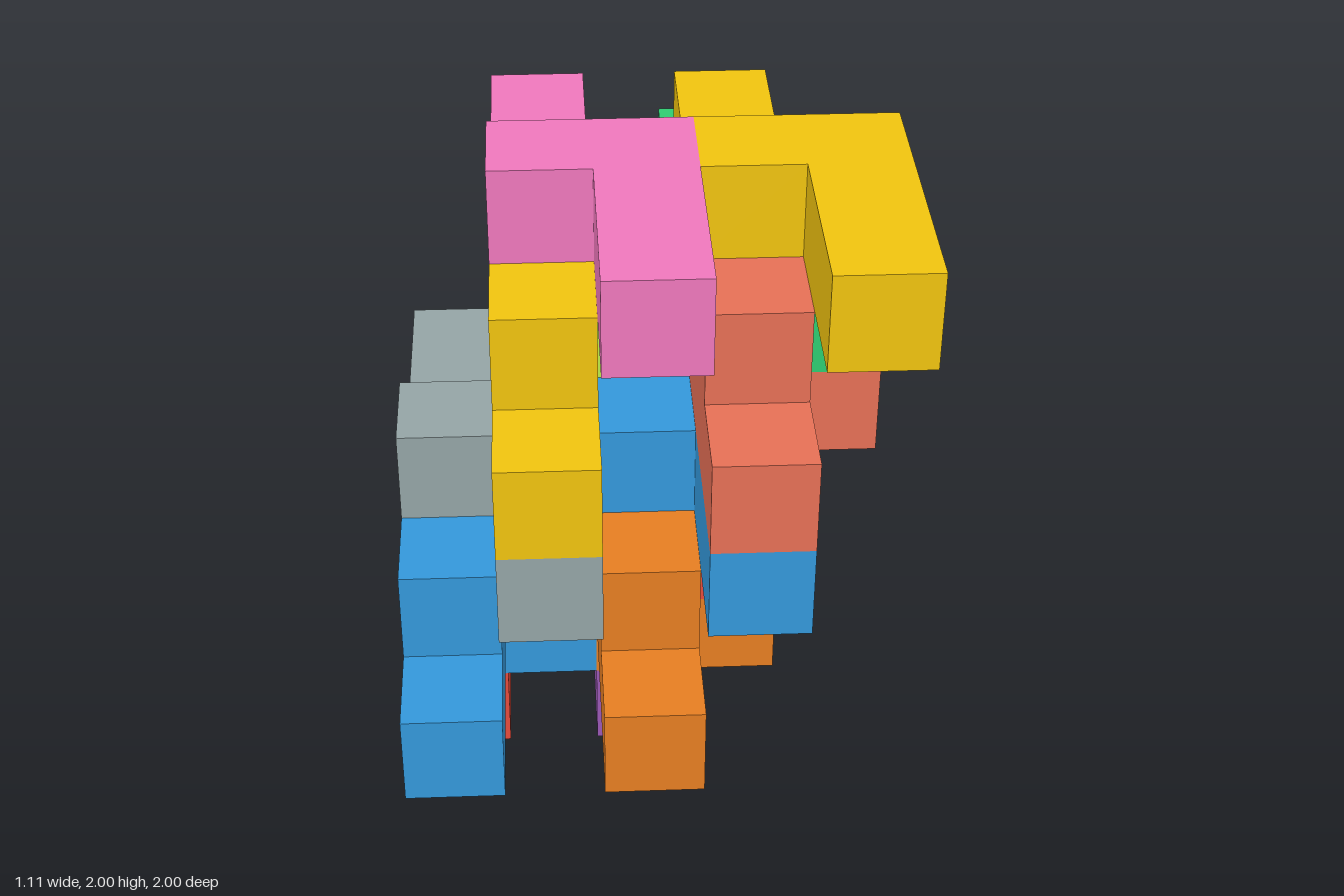
import * as THREE from 'three';
import { mergeGeometries } from 'three/addons/utils/BufferGeometryUtils.js';

const U = 2 / 9; // edge of one cube cell

// Cells of the one repeated block: long rail with a peg below, stepping up and across to an arm.
const BLOCK = [
  [0, 0, 0], [0, 0, 1], [0, 0, 2], [0, 0, 3], // rail
  [0, -1, 1],                                 // peg
  [0, 1, 3],                                  // riser
  [1, 1, 3], [1, 1, 4], [1, 1, 5],            // arm
];

// Six cell faces: outward direction and the rotation that turns a plane to it
const H = Math.PI / 2;
const FACES = [
  [[0, 0, 1], 0, 0], [[0, 0, -1], 0, 2 * H],
  [[1, 0, 0], 0, H], [[-1, 0, 0], 0, -H],
  [[0, 1, 0], -H, 0], [[0, -1, 0], H, 0],
];

// Only the outer faces of a set of cells
function cellGeometry(cells) {
  const filled = new Set(cells.map(c => c.join()));
  const faces = [];
  for (const c of cells) {
    for (const [d, rx, ry] of FACES) {
      if (filled.has(c.map((v, i) => v + d[i]).join())) continue;
      const [x, y, z] = c.map((v, i) => (v + d[i] / 2) * U);
      faces.push(new THREE.PlaneGeometry(U, U).rotateX(rx).rotateY(ry).translate(x, y, z));
    }
  }
  return mergeGeometries(faces);
}

// Name, colour, cell of the rail's start; flipped blocks are turned half round the x axis
const UPRIGHT = [
  ['topYellowBlock', 0xf1c40f, 3, 7, 3],
  ['pinkBlock', 0xf078bd, 1, 7, 3],
  ['grayBlock', 0x95a5a6, 0, 4, 3],
  ['upperBlueBlock', 0x3498db, 2, 4, 3],
  ['upperGreenBlock', 0x2ecc71, 3, 5, 0],
  ['limeBlock', 0xbcec48, 1, 5, 0],
  ['navyBlock', 0x34495e, 0, 2, 0],
  ['upperRedBlock', 0xe74c3c, 2, 2, 0],
];
const FLIPPED = [
  ['salmonBlock', 0xe67056, 3, 6, 8],
  ['lowerYellowBlock', 0xf1c40f, 1, 6, 8],
  ['lowerBlueBlock', 0x3498db, 0, 3, 8],
  ['orangeBlock', 0xe67e22, 2, 3, 8],
  ['lowerGreenBlock', 0x2ecc71, 1, 4, 5],
  ['tealBlock', 0x1abc9c, 3, 4, 5],
  ['lowerRedBlock', 0xe74c3c, 0, 1, 5],
  ['purpleBlock', 0x9b59b6, 2, 1, 5],
];

export function createModel() {
  const model = new THREE.Group();
  model.name = 'interlockingBlocks';
  const upright = cellGeometry(BLOCK);
  const flipped = cellGeometry(BLOCK.map(([x, y, z]) => [x, -y, -z]));

  const place = (geometry, list) => {
    for (const [name, color, i, j, k] of list) {
      const mesh = new THREE.Mesh(geometry, new THREE.MeshStandardMaterial({ color }));
      mesh.name = name;
      mesh.position.set((i - 2) * U, (j + 0.5) * U, (k - 4) * U);
      model.add(mesh);
    }
  };
  place(upright, UPRIGHT);
  place(flipped, FLIPPED);
  return model;
}
